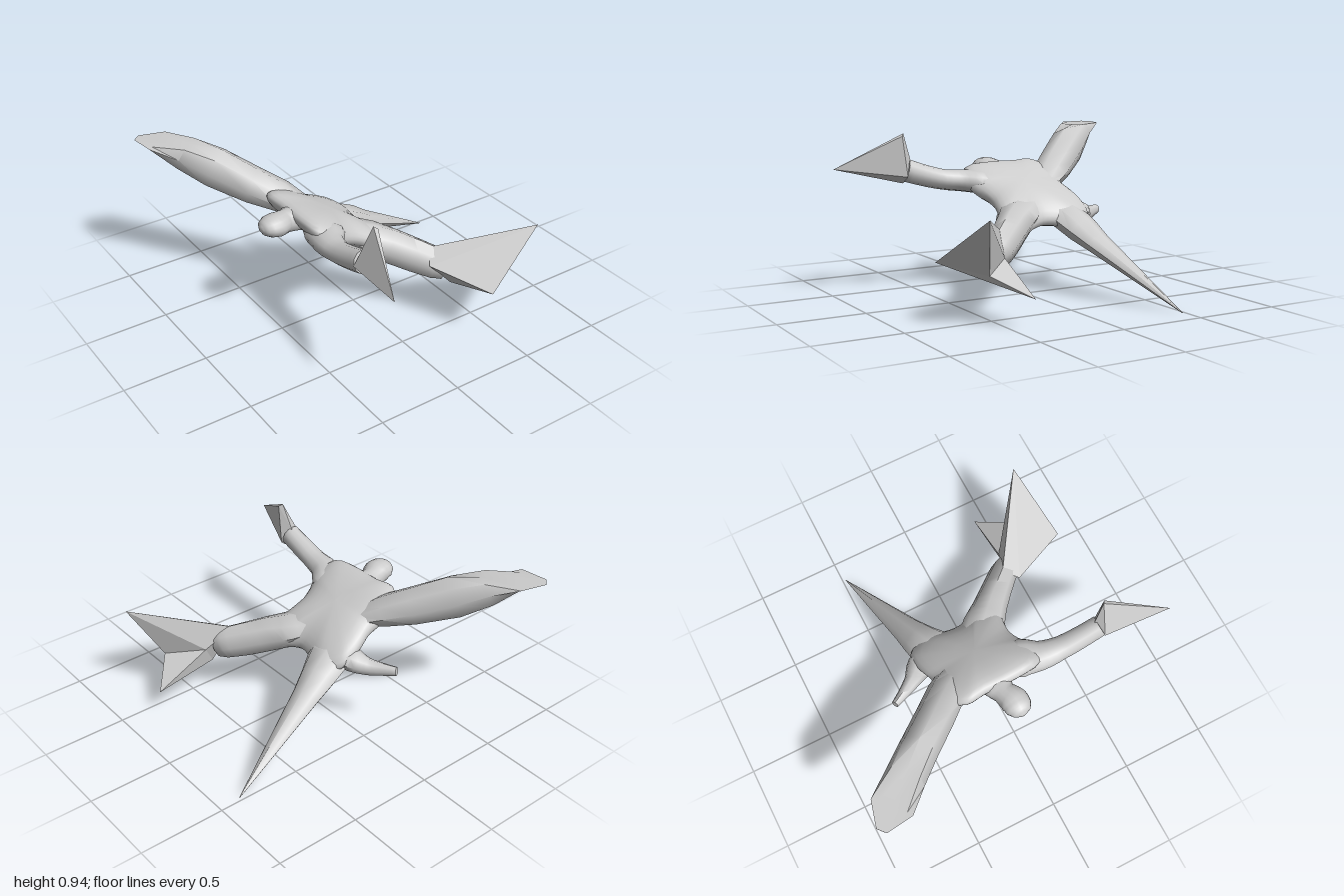
import * as THREE from 'three';
import { toCreasedNormals } from 'three/addons/utils/BufferGeometryUtils.js';
import { ConvexGeometry } from 'three/addons/geometries/ConvexGeometry.js';

const V = (x, y, z) => new THREE.Vector3(x, y, z);
const smoothMat = new THREE.MeshStandardMaterial({ color: 0xcccccc });
const facetMat = new THREE.MeshStandardMaterial({ color: 0xcccccc, flatShading: true });

// Joins closed rings of equal length into one skin
function skin(rings, crease) {
  const n = rings[0].length, index = [];
  for (let i = 0; i < rings.length - 1; i++) {
    for (let j = 0; j < n; j++) {
      const a = i * n + j, b = i * n + (j + 1) % n;
      index.push(a, a + n, b, b, a + n, b + n);
    }
  }
  const g = new THREE.BufferGeometry().setFromPoints(rings.flat());
  g.setIndex(index);
  return toCreasedNormals(g, crease);
}

// Limb through stations [x, y, z, half width, half height]; the root stays open inside the torso
function limb(stations, { sides = 12, steps = 3, ceiling = Infinity, crease = 0.9 } = {}) {
  const path = new THREE.CatmullRomCurve3(stations.map(s => V(s[0], s[1], s[2])), false, 'centripetal');
  const count = (stations.length - 1) * steps;
  const rings = [];
  const ring = (t, scale) => {
    const f = t * (stations.length - 1), i = Math.min(Math.floor(f), stations.length - 2);
    const size = k => THREE.MathUtils.lerp(stations[i][k], stations[i + 1][k], f - i) * scale;
    const c = path.getPoint(t), dir = path.getTangent(t);
    const side = dir.clone().cross(V(0, 1, 0)).normalize();
    const up = side.clone().cross(dir);
    const points = [];
    for (let j = 0; j < sides; j++) {
      const a = j / sides * Math.PI * 2;
      const p = c.clone().addScaledVector(side, Math.cos(a) * size(3)).addScaledVector(up, Math.sin(a) * size(4));
      p.y = Math.min(p.y, ceiling);
      points.push(p);
    }
    rings.push(points);
  };
  for (let i = 0; i <= count; i++) ring(i / count, 1);
  ring(1, 0.001);
  return skin(rings, crease);
}

// Sloping, cushion-like torso from a plan outline
function torso() {
  const plan = [
    [0.11, -0.06], [0.14, 0.03], [0.18, 0.10], [0.11, 0.19], [0, 0.18], [-0.08, 0.17],
    [-0.16, 0.19], [-0.25, 0.24], [-0.37, 0.21], [-0.40, 0.05], [-0.40, -0.15], [-0.41, -0.27],
    [-0.33, -0.36], [-0.23, -0.37], [-0.15, -0.36], [-0.08, -0.38], [0, -0.395], [0.08, -0.385],
    [0.15, -0.28], [0.12, -0.15],
  ].map(([x, z]) => V(x, 0, z));
  const outline = new THREE.CatmullRomCurve3(plan, true).getPoints(60).slice(0, -1);
  const rings = [];
  for (let k = 0; k <= 14; k++) {
    const phi = (k / 14 - 0.5) * Math.PI;
    const s = Math.max(Math.cos(phi), 0.0001) ** 0.8;
    rings.push(outline.map(p => {
      const x = -0.13 + (p.x + 0.13) * s, z = -0.08 + (p.z + 0.08) * s;
      return V(x, 0.56 - 0.53 * (x + 0.1) + 0.098 * Math.sin(phi), z);
    }));
  }
  return skin(rings, 1.2);
}

export function createModel() {
  const group = new THREE.Group();
  const add = (name, geometry, material = smoothMat) => {
    const mesh = new THREE.Mesh(geometry, material);
    mesh.name = name;
    group.add(mesh);
  };

  add('torso', torso());

  // Head with a short neck
  add('head', limb([
    [-0.26, 0.65, -0.06, 0.12, 0.05], [-0.36, 0.68, -0.06, 0.10, 0.065], [-0.43, 0.685, -0.05, 0.066, 0.068],
    [-0.50, 0.70, -0.024, 0.083, 0.066], [-0.55, 0.705, -0.02, 0.077, 0.056],
    [-0.585, 0.705, -0.02, 0.052, 0.038], [-0.602, 0.705, -0.02, 0.015, 0.012],
  ], { sides: 16, crease: 1.4 }));

  // Raised rear arm, cut off level at the top
  add('rearArm', limb([
    [-0.19, 0.61, -0.22, 0.09, 0.05], [-0.28, 0.665, -0.33, 0.108, 0.088], [-0.39, 0.715, -0.455, 0.11, 0.112],
    [-0.54, 0.80, -0.63, 0.11, 0.13], [-0.66, 0.88, -0.76, 0.112, 0.11],
    [-0.775, 0.935, -0.885, 0.118, 0.02], [-0.86, 0.935, -0.985, 0.03, 0.005],
  ], { sides: 8, steps: 1, ceiling: 0.935 }));

  // Front arm with a pointed, crested hand
  add('frontArm', limb([
    [-0.26, 0.635, 0.05, 0.10, 0.05], [-0.285, 0.645, 0.14, 0.115, 0.07], [-0.325, 0.655, 0.24, 0.088, 0.065],
    [-0.34, 0.667, 0.36, 0.07, 0.06], [-0.345, 0.70, 0.49, 0.065, 0.063],
    [-0.345, 0.735, 0.60, 0.062, 0.066],
  ]));
  add('frontHand', new ConvexGeometry([
    V(-0.305, 0.95, 0.625), V(-0.285, 0.935, 0.64), V(-0.44, 0.75, 1.0), V(-0.33, 0.66, 0.62),
    V(-0.41, 0.73, 0.60), V(-0.28, 0.70, 0.61), V(-0.33, 0.79, 0.57),
  ]), facetMat);

  // Long tapering rear leg
  add('rearLeg', limb([
    [-0.04, 0.50, -0.21, 0.11, 0.05], [0.06, 0.45, -0.255, 0.13, 0.08], [0.17, 0.385, -0.29, 0.108, 0.08],
    [0.28, 0.322, -0.32, 0.086, 0.062], [0.87, 0.01, -0.48, 0.002, 0.002],
  ], { sides: 8, steps: 1 }));

  add('tailStub', limb([
    [0, 0.485, -0.31, 0.08, 0.05], [-0.015, 0.465, -0.375, 0.08, 0.065], [-0.06, 0.438, -0.445, 0.048, 0.052],
    [-0.11, 0.44, -0.53, 0.032, 0.038], [-0.145, 0.447, -0.595, 0.022, 0.028],
  ], { sides: 8 }));

  // Front leg with a two-pronged faceted foot
  add('frontLeg', limb([
    [-0.05, 0.53, -0.01, 0.12, 0.05], [0.05, 0.475, 0.08, 0.122, 0.095], [0.15, 0.43, 0.175, 0.10, 0.108],
    [0.25, 0.383, 0.275, 0.09, 0.108], [0.335, 0.345, 0.365, 0.083, 0.10], [0.375, 0.32, 0.41, 0.055, 0.08],
  ], { sides: 8 }));
  const ankleTop = V(0.30, 0.455, 0.335), ankleSide = V(0.24, 0.39, 0.42);
  const ankleBase = V(0.40, 0.22, 0.42), ankleBack = V(0.46, 0.33, 0.395);
  const toe = V(0.41, 0.335, 0.78), notch = V(0.63, 0.28, 0.58);
  add('footUpperProng', new ConvexGeometry(
    [ankleTop, ankleSide, ankleBase, ankleBack, toe, notch, V(0.81, 0.60, 0.675)]), facetMat);
  add('footLowerProng', new ConvexGeometry(
    [ankleBase, ankleBack, toe, notch, V(0.79, 0.17, 0.40)]), facetMat);

  return group;
}
